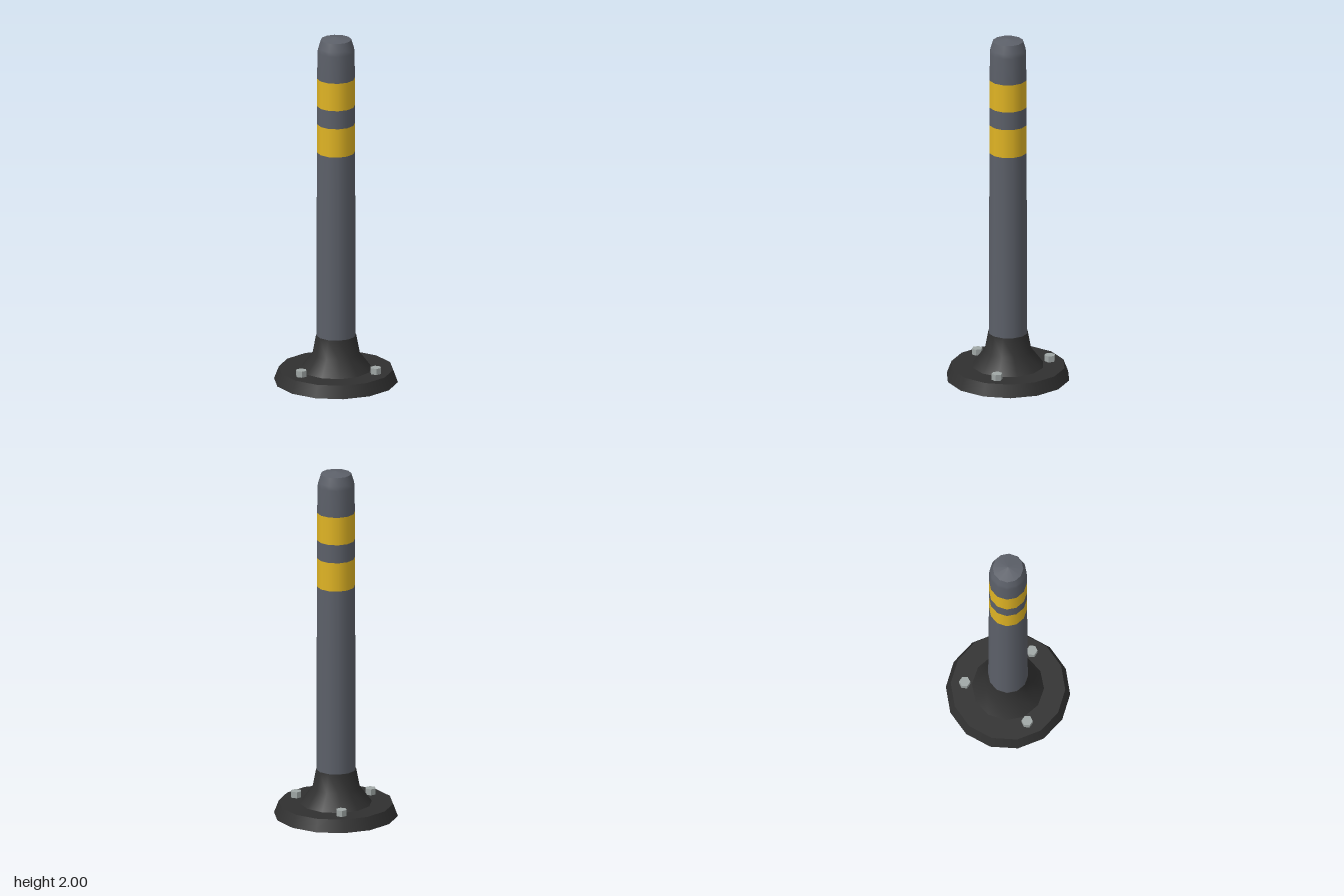
import * as THREE from 'three';

const mat = (name, color) => {
  const m = new THREE.MeshStandardMaterial({ color });
  m.name = name;
  return m;
};

export function createModel() {
  const group = new THREE.Group();
  const rubber = mat('blackRubber', 0x303030);
  const grey = mat('greyPlastic', 0x5c6069);
  const yellow = mat('yellowBand', 0xe0b424);
  const steel = mat('boltSteel', 0xa0a7a6);

  const add = (name, geometry, material, x = 0, y = 0, z = 0) => {
    const mesh = new THREE.Mesh(geometry, material);
    mesh.name = name;
    mesh.position.set(x, y, z);
    group.add(mesh);
    return mesh;
  };
  // Twelve-sided turned part from [radius, height] pairs, bottom to top
  const turned = (name, profile, material) =>
    add(name, new THREE.LatheGeometry(profile.map(([r, y]) => new THREE.Vector2(r, y)), 12), material);

  // Base plate with sloping rim
  add('basePlate', new THREE.CylinderGeometry(0.318, 0.345, 0.07, 14), rubber, 0, 0.035, 0);

  // Flared collar holding the post
  turned('collar', [[0.2, 0.07], [0.132, 0.16], [0.112, 0.265]], rubber);
  turned('collarRim', [[0.112, 0.265], [0.1, 0.265]], rubber);

  // Slightly tapering post, split where the coloured bands begin and end
  turned('lowerPost', [[0.11, 0.265], [0.109, 0.63], [0.107, 1.17], [0.105, 1.33]], grey);
  turned('lowerBand', [[0.105, 1.33], [0.105, 1.495]], yellow);
  turned('middlePost', [[0.105, 1.495], [0.105, 1.6]], grey);
  turned('upperBand', [[0.105, 1.6], [0.105, 1.76]], yellow);
  turned('upperPost', [[0.105, 1.76], [0.104, 1.915], [0.099, 1.94], [0.085, 1.985]], grey);
  turned('topCap', [[0.085, 1.985], [0, 2]], grey);

  // Three hexagonal anchor bolts, one at the back
  for (let i = 0; i < 3; i++) {
    const a = Math.PI + (i * Math.PI * 2) / 3;
    const head = new THREE.CylinderGeometry(0.031, 0.031, 0.035, 6).toNonIndexed();
    head.computeVertexNormals();
    add('anchorBolt', head, steel, 0.24 * Math.sin(a), 0.0875, 0.24 * Math.cos(a));
  }
  return group;
}
